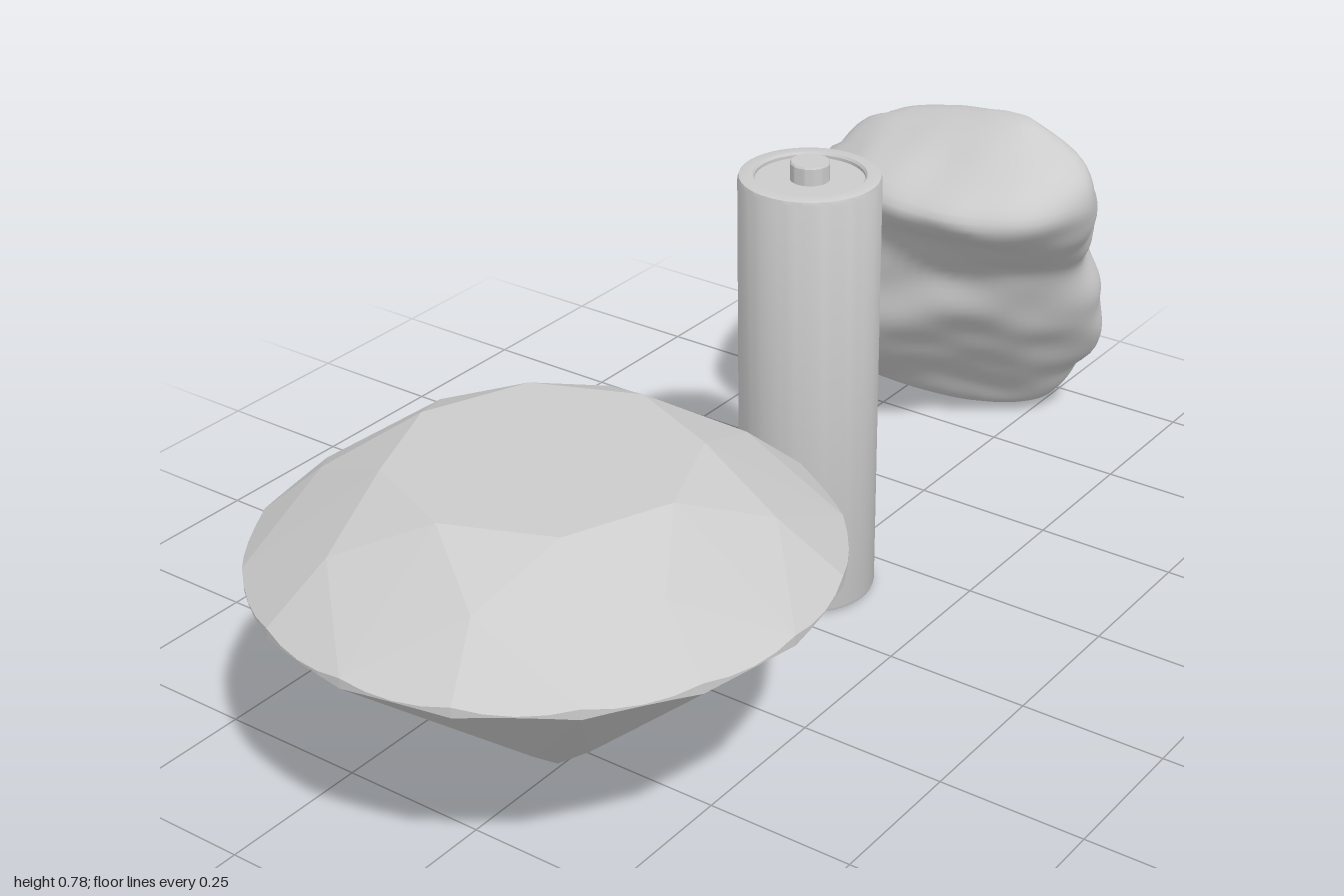
import * as THREE from 'three';
import { toCreasedNormals } from 'three/addons/utils/BufferGeometryUtils.js';

function add(group, name, geometry) {
  const mesh = new THREE.Mesh(geometry, new THREE.MeshStandardMaterial({ color: 0xcccccc }));
  mesh.name = name;
  group.add(mesh);
}

// Flat facets of a convex solid, each turned to face away from an inner point
function facets(triangles, inside) {
  const pos = [];
  for (const [a, b, c] of triangles) {
    const n = b.clone().sub(a).cross(c.clone().sub(a));
    const outward = n.dot(a.clone().sub(inside)) >= 0;
    for (const p of outward ? [a, b, c] : [a, c, b]) pos.push(p.x, p.y, p.z);
  }
  const g = new THREE.BufferGeometry();
  g.setAttribute('position', new THREE.Float32BufferAttribute(pos, 3));
  g.computeVertexNormals();
  return g;
}

// Round brilliant-cut gem with eightfold symmetry
function makeGem() {
  const gem = new THREE.Group();
  gem.name = 'gem';
  const R = 0.442, step = Math.PI / 4, h = step / 2, arcs = 4;
  const at = (r, y, a) => new THREE.Vector3(r * Math.sin(a), y, r * Math.cos(a));
  // girdle edge: where the plane of one half facet cuts the round outline
  const edge = (y, rMid, yMid) => {
    const { normal: n, constant } = new THREE.Plane().setFromCoplanarPoints(
      at(rMid, yMid, h), at(R, y, 0), at(R, y, h));
    return a => {
      const turn = Math.abs(a) % step, p = at(R, 0, Math.min(turn, step - turn));
      return at(R, -(n.x * p.x + n.z * p.z + constant) / n.y, a);
    };
  };
  const upper = edge(0.407, 0.345, 0.49), lower = edge(0.39, 0.11, 0.098);
  const crown = [], girdle = [], pavilion = [];
  const top = new THREE.Vector3(0, 0.55, 0), culet = new THREE.Vector3(0, 0.01, 0);
  for (let i = 0; i < 8; i++) {
    const a = i * step;
    const t0 = at(0.235, 0.55, a), t1 = at(0.235, 0.55, a + step);
    const mid = at(0.345, 0.49, a + h), midBefore = at(0.345, 0.49, a - h);
    const low = at(0.11, 0.098, a + h), lowBefore = at(0.11, 0.098, a - h);
    crown.push([top, t0, t1], [t0, mid, t1]);
    crown.push([t0, midBefore, upper(a)], [t0, upper(a), mid]);
    pavilion.push([culet, lowBefore, lower(a)], [culet, lower(a), low]);
    for (let k = 0; k < 2 * arcs; k++) {
      const p = a + k * h / arcs, q = p + h / arcs;
      crown.push([mid, upper(p), upper(q)]);
      pavilion.push([low, lower(p), lower(q)]);
      girdle.push([upper(p), lower(p), lower(q)], [upper(p), lower(q), upper(q)]);
    }
  }
  const inside = new THREE.Vector3(0, 0.38, 0);
  add(gem, 'gemCrown', facets(crown, inside));
  add(gem, 'gemGirdle', facets(girdle, inside));
  add(gem, 'gemPavilion', facets(pavilion, inside));
  gem.position.x = -0.558;
  return gem;
}

// Cylindrical cell: case with a recessed top and a terminal
function makeBattery() {
  const battery = new THREE.Group();
  battery.name = 'battery';
  const lathe = pts =>
    toCreasedNormals(new THREE.LatheGeometry(pts.map(p => new THREE.Vector2(...p)), 48), 0.5);
  add(battery, 'batteryCase', lathe([
    [0, 0.003], [0.108, 0.003], [0.114, 0.006], [0.116, 0.012],
    [0.116, 0.75], [0.114, 0.756], [0.108, 0.758],
    [0.092, 0.758], [0.089, 0.754], [0.089, 0.749], [0, 0.749],
  ]));
  add(battery, 'batteryTerminal', lathe([[0.032, 0.748], [0.032, 0.777], [0.03, 0.78], [0, 0.78]]));
  battery.position.x = 0.12;
  return battery;
}

// Bean-shaped rough stone, lofted through level sections
function makeRock() {
  // height, then x, z pairs: outer face, front, hollow inner side, back tip, ridge
  const sections = [
    [0.03, 0.985, -0.05, 0.96, 0, 0.91, 0.02, 0.86, -0.01, 0.82, -0.07, 0.8, -0.13, 0.84, -0.16, 0.94, -0.12],
    [0.1, 0.993, -0.03, 0.97, 0.04, 0.9, 0.07, 0.82, 0.02, 0.75, -0.1, 0.68, -0.24, 0.73, -0.325, 0.93, -0.17],
    [0.2, 0.975, -0.03, 0.95, 0.08, 0.87, 0.14, 0.76, 0.06, 0.65, -0.09, 0.54, -0.25, 0.6, -0.36, 0.92, -0.18],
    [0.3, 0.945, -0.03, 0.92, 0.1, 0.82, 0.16, 0.7, 0.09, 0.58, -0.07, 0.46, -0.26, 0.54, -0.365, 0.9, -0.19],
    [0.4, 0.91, -0.04, 0.87, 0.1, 0.76, 0.16, 0.65, 0.09, 0.56, -0.05, 0.46, -0.24, 0.56, -0.35, 0.86, -0.21],
    [0.5, 0.86, -0.04, 0.82, 0.13, 0.66, 0.215, 0.53, 0.14, 0.5, -0.02, 0.47, -0.22, 0.6, -0.325, 0.81, -0.225],
    [0.58, 0.79, -0.03, 0.76, 0.13, 0.62, 0.245, 0.46, 0.17, 0.42, 0, 0.47, -0.18, 0.62, -0.28, 0.76, -0.21],
    [0.65, 0.73, 0, 0.71, 0.13, 0.64, 0.21, 0.55, 0.15, 0.54, 0, 0.58, -0.12, 0.65, -0.19, 0.71, -0.15],
  ];
  const rows = 60, cols = 80, pos = [], index = [];
  const loops = sections.map(([y, ...xz]) => {
    const pts = [];
    for (let i = 0; i < xz.length; i += 2) pts.push(new THREE.Vector3(xz[i], y, xz[i + 1]));
    const loop = new THREE.CatmullRomCurve3(pts, true);
    return Array.from({ length: cols }, (_, j) => loop.getPoint(j / cols));
  });
  // the end sections shrink towards a small tip
  const tip = (loop, x, y, z, k) => loop.map(p => new THREE.Vector3(x, y, z).lerp(p, k).setY(y));
  loops.unshift(tip(loops[0], 0.92, 0.002, -0.07, 0.25));
  loops.push(tip(loops.at(-1), 0.65, 0.7, 0.08, 0.2));
  const columns = Array.from({ length: cols },
    (_, j) => new THREE.CatmullRomCurve3(loops.map(l => l[j])));

  for (let i = 0; i <= rows; i++) {
    const ring = columns.map(c => c.getPoint(i / rows));
    const centre = ring.reduce((s, p) => s.add(p), new THREE.Vector3()).divideScalar(cols);
    ring.forEach((p, j) => {
      const { x, y, z } = p, out = p.clone().sub(centre).setY(0);
      const fade = Math.min(1, out.length() / 0.1);
      // soft lumps
      const lump = 0.006 * Math.sin(23 * x + 2) * Math.sin(21 * y + 9 * z) * Math.sin(19 * z - 1)
        + 0.004 * (Math.sin(43 * y + 12 * z) * Math.sin(39 * z - 17 * x) + Math.sin(31 * x - 35 * y) * 0.5);
      // broken ledges on the back
      const back = THREE.MathUtils.smoothstep(0.16 - Math.abs(j / cols - 0.8), 0, 0.06);
      const f = 11 * y + 3 * x + 0.25 * Math.sin(29 * x);
      const ledge = back * 0.012 * (f - Math.floor(f) - 0.5);
      p.addScaledVector(out.normalize(), (lump + ledge) * fade);
      pos.push(p.x, p.y, p.z);
    });
  }
  for (let i = 0; i < rows; i++) for (let j = 0; j < cols; j++) {
    const k = (j + 1) % cols, a = i * cols + j, b = i * cols + k;
    index.push(a, a + cols, b, b, a + cols, b + cols);
  }
  // end caps
  for (let j = 1; j < cols - 1; j++) {
    const t = rows * cols;
    index.push(0, j, j + 1, t, t + j + 1, t + j);
  }
  const g = new THREE.BufferGeometry();
  g.setAttribute('position', new THREE.Float32BufferAttribute(pos, 3));
  g.setIndex(index);
  const rock = new THREE.Group();
  rock.name = 'rock';
  add(rock, 'rockBody', toCreasedNormals(g, 0.8));
  return rock;
}

export function createModel() {
  const model = new THREE.Group();
  model.name = 'gemBatteryAndRock';
  model.add(makeGem(), makeBattery(), makeRock());
  return model;
}
